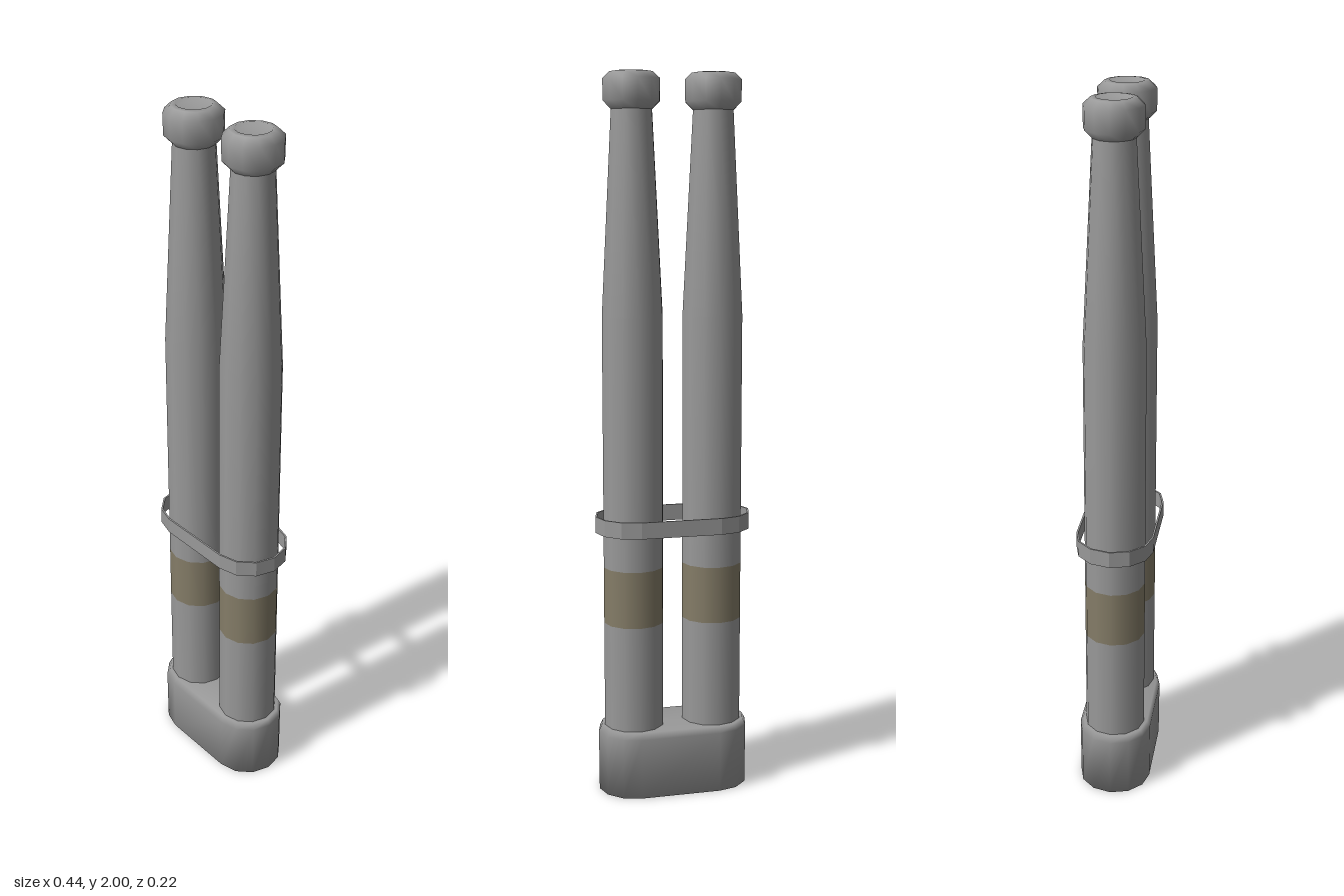
import * as THREE from 'three';

const SIDES = 12;
const POLE_X = 0.113;

function material(name, color, side = THREE.FrontSide) {
  const m = new THREE.MeshStandardMaterial({ color, side });
  m.name = name;
  return m;
}

function addMesh(parent, name, geometry, mat) {
  const mesh = new THREE.Mesh(geometry, mat);
  mesh.name = name;
  parent.add(mesh);
  return mesh;
}

function lathe(profile) {
  return new THREE.LatheGeometry(profile.map(([r, y]) => new THREE.Vector2(r, y)), SIDES);
}

// Outline of two half circles joined by straight sides, in the x-z plane
function stadium(radius) {
  const points = [];
  for (const side of [1, -1]) {
    for (let i = 0; i <= SIDES / 2; i++) {
      const a = (i / (SIDES / 2)) * Math.PI;
      points.push([side * (POLE_X + radius * Math.sin(a)), side * radius * Math.cos(a)]);
    }
  }
  return points;
}

// Skin through stadium rings [radius, y], from the bottom up
function loftStadium(rings, capped) {
  const pos = [], index = [];
  const n = stadium(1).length;
  for (const [r, y] of rings) for (const [x, z] of stadium(r)) pos.push(x, y, z);
  for (let k = 0; k < rings.length - 1; k++) {
    for (let i = 0; i < n; i++) {
      const a = k * n + i, b = k * n + ((i + 1) % n);
      index.push(a, b, b + n, a, b + n, a + n);
    }
  }
  if (capped) {
    const last = rings.length - 1;
    const bottom = pos.length / 3, top = bottom + 1;
    pos.push(0, rings[0][1], 0, 0, rings[last][1], 0);
    for (let i = 0; i < n; i++) {
      const j = (i + 1) % n;
      index.push(bottom, j, i, top, last * n + i, last * n + j);
    }
  }
  const g = new THREE.BufferGeometry();
  g.setAttribute('position', new THREE.Float32BufferAttribute(pos, 3));
  g.setIndex(index);
  g.computeVertexNormals();
  return g;
}

export function createModel() {
  const model = new THREE.Group();
  model.name = 'twinPoles';
  const grey = material('grey metal', 0x999999);
  const greyThin = material('grey strap', 0x999999, THREE.DoubleSide);
  const tan = material('tan stripe', 0x857d68);

  // Rounded foot holding both poles
  addMesh(model, 'base', loftStadium([[0.102, 0], [0.103, 0.172], [0.094, 0.19]], true), grey);

  // Thin strap around both poles
  addMesh(model, 'strap', loftStadium(
    [[0.103, 0.75], [0.108, 0.75], [0.108, 0.796], [0.103, 0.796], [0.103, 0.75]], false,
  ).toNonIndexed(), greyThin).geometry.computeVertexNormals();

  for (const side of [-1, 1]) {
    const pole = new THREE.Group();
    pole.name = side > 0 ? 'leftPole' : 'rightPole';
    pole.position.x = side * POLE_X;
    model.add(pole);

    // Shaft below the stripe, the stripe itself, and the tapering shaft above
    addMesh(pole, 'lowerShaft', lathe([[0.085, 0.15], [0.085, 0.49]]), grey);
    addMesh(pole, 'stripe', lathe([[0.085, 0.49], [0.085, 0.65]]), tan);
    addMesh(pole, 'upperShaft', lathe([[0.085, 0.65], [0.085, 1.35], [0.056, 1.91]]), grey);

    // Flared end knob with a shallow dished top
    addMesh(pole, 'knob', lathe([
      [0.056, 1.9], [0.078, 1.922], [0.079, 1.98], [0.06, 1.998],
      [0.047, 2], [0.04, 1.992], [0, 1.992],
    ]), grey);
  }
  return model;
}
